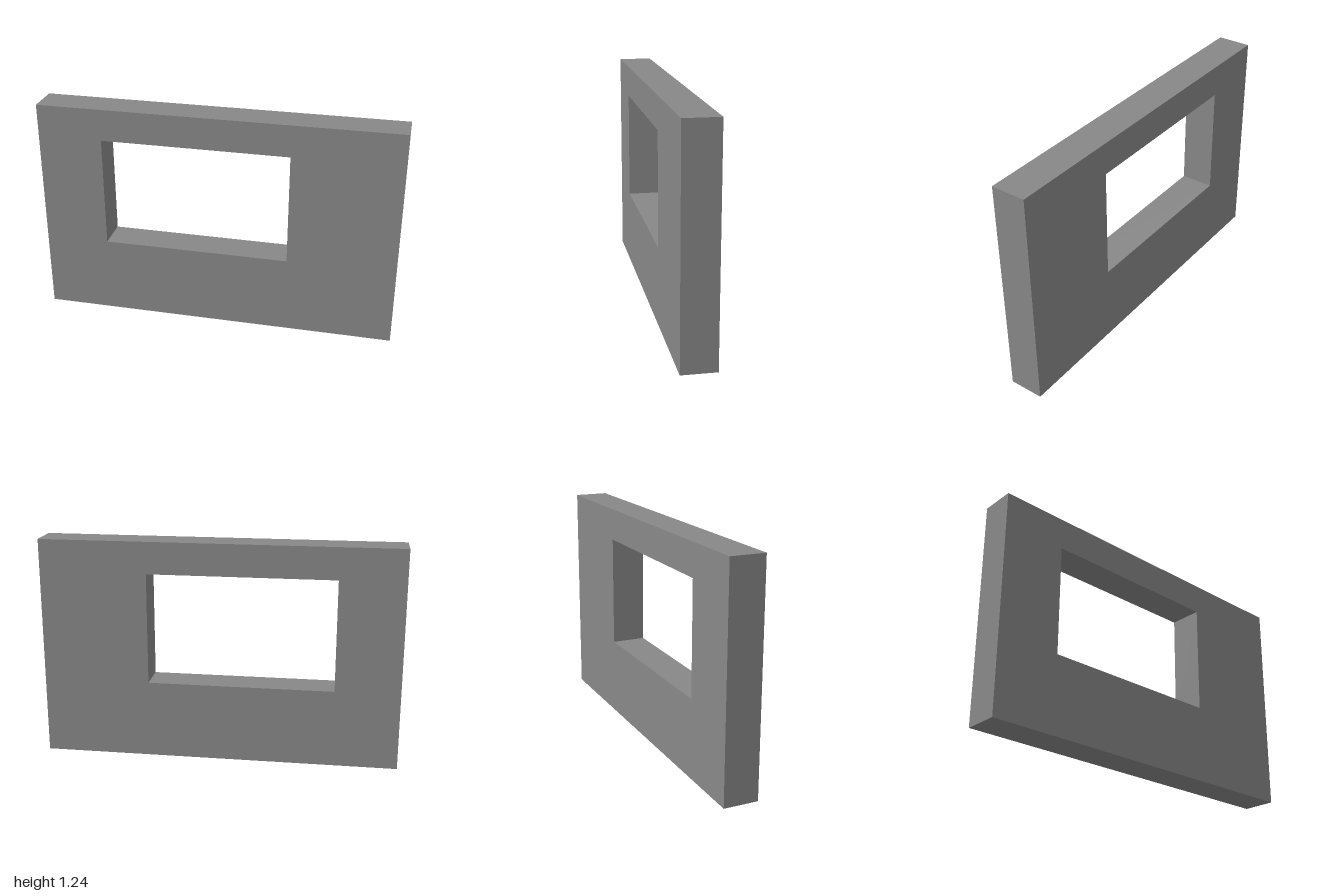
import * as THREE from 'three';

const WIDTH = 2, HEIGHT = 1.238, DEPTH = 0.19;
const OPENING = { left: -0.64, right: 0.4, bottom: 0.437, top: 1.06 };

// Closed rectangle added to a Shape or Path
function rectangle(path, x0, y0, x1, y1) {
  path.moveTo(x0, y0);
  path.lineTo(x1, y0);
  path.lineTo(x1, y1);
  path.lineTo(x0, y1);
  path.closePath();
  return path;
}

export function createModel() {
  const group = new THREE.Group();
  group.name = 'wallWithWindowOpening';

  // Wall slab with an off-centre window opening cut right through
  const outline = rectangle(new THREE.Shape(), -WIDTH / 2, 0, WIDTH / 2, HEIGHT);
  outline.holes.push(
    rectangle(new THREE.Path(), OPENING.left, OPENING.bottom, OPENING.right, OPENING.top)
  );
  const geometry = new THREE.ExtrudeGeometry(outline, { depth: DEPTH, bevelEnabled: false });
  geometry.translate(0, 0, -DEPTH / 2);

  const wall = new THREE.Mesh(
    geometry,
    new THREE.MeshStandardMaterial({ color: 0x888888, flatShading: true })
  );
  wall.name = 'wall';
  group.add(wall);
  return group;
}
